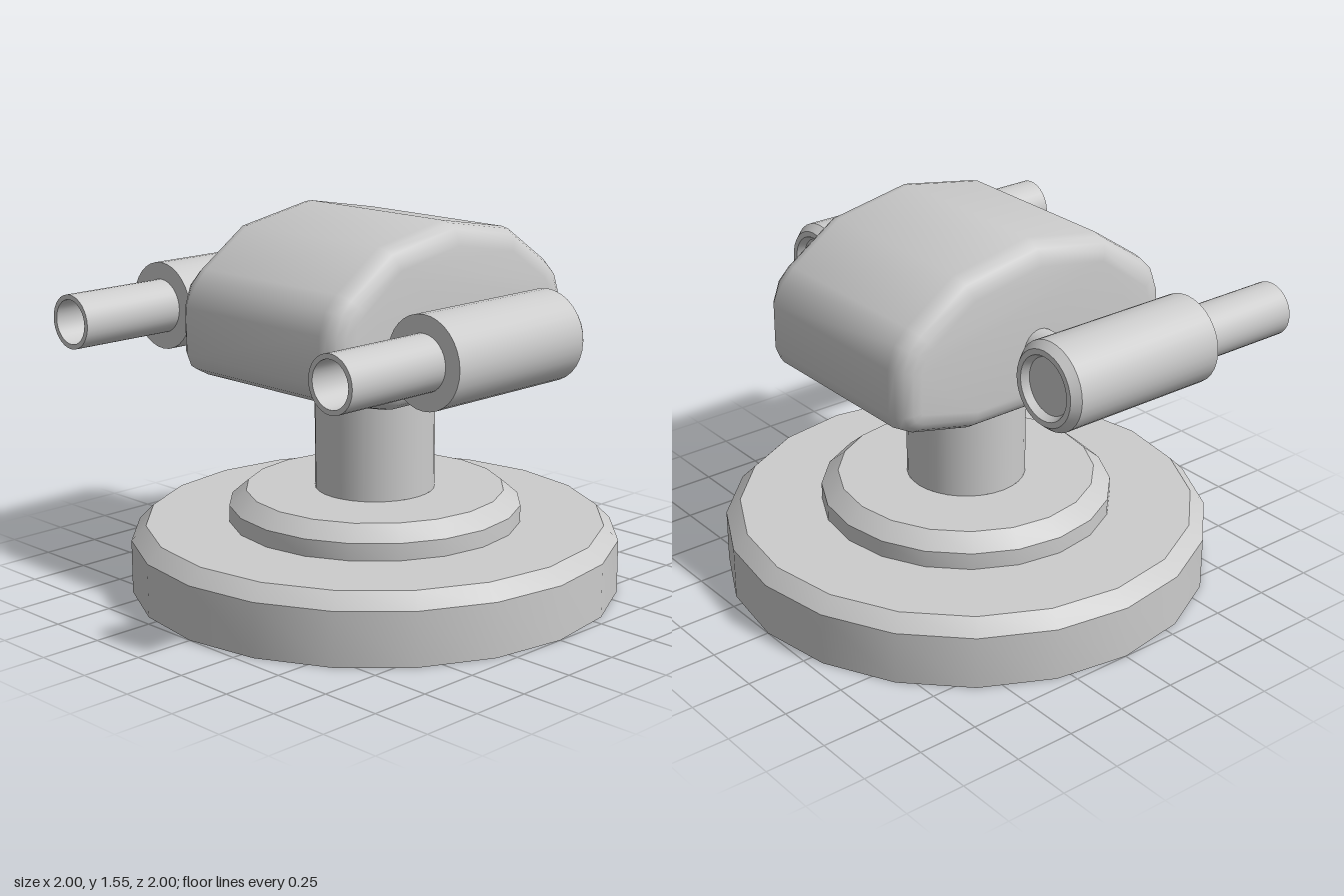
import * as THREE from 'three';
import { toCreasedNormals } from 'three/addons/utils/BufferGeometryUtils.js';

const grey = new THREE.MeshStandardMaterial({ color: 0xcccccc });
const greyOpen = new THREE.MeshStandardMaterial({ color: 0xcccccc, side: THREE.DoubleSide });

function part(name, geometry, material = grey) {
  const mesh = new THREE.Mesh(geometry, material);
  mesh.name = name;
  return mesh;
}

// Lathe from [radius, height] pairs, with sharp profile edges
function turned(points, sides) {
  const profile = points.map(([r, y]) => new THREE.Vector2(r, y));
  return toCreasedNormals(new THREE.LatheGeometry(profile, sides), 0.55);
}

// Rounded block: side outline extruded across the width
function headGeometry() {
  const half = [[0, 1.548], [0.35, 1.485], [0.57, 1.335], [0.625, 1.28], [0.657, 1.19],
    [0.657, 1.0], [0.635, 0.945], [0.575, 0.912], [0.31, 0.85]];
  const outline = [...half, ...half.slice(1).reverse().map(([z, y]) => [-z, y])];
  const shape = new THREE.Shape(outline.map(([z, y]) => new THREE.Vector2(z, y)));
  const bevel = 0.09, width = 0.91;
  const geometry = new THREE.ExtrudeGeometry(shape, {
    depth: width - 2 * bevel, bevelEnabled: true, bevelSize: bevel,
    bevelThickness: bevel, bevelOffset: -bevel, bevelSegments: 4,
  });
  geometry.translate(0, 0, bevel - width / 2).rotateY(Math.PI / 2);
  return toCreasedNormals(geometry, 0.7);
}

// One gun with its side arm; side is +1 (left) or -1 (right)
function createGun(side) {
  const gun = new THREE.Group();
  gun.name = side > 0 ? 'leftGun' : 'rightGun';

  // Chamfered housing with a recessed rear cap
  const housing = turned([[0, -0.195], [0.115, -0.195], [0.13, -0.225], [0.153, -0.225],
    [0.18, -0.192], [0.18, 0.495], [0, 0.495]], 32);
  // Hollow barrel
  const barrel = turned([[0.11, 0.49], [0.11, 0.96], [0.09, 0.96], [0.09, 0.5], [0, 0.5]], 32);
  for (const [name, geometry] of [['gunHousing', housing], ['gunBarrel', barrel]]) {
    gun.add(part(name, geometry.rotateX(Math.PI / 2)));
  }

  const arm = new THREE.CylinderGeometry(0.077, 0.077, 0.34, 24).rotateZ(Math.PI / 2);
  const armMesh = part('gunArm', arm);
  armMesh.position.x = -side * 0.27;
  gun.add(armMesh);

  gun.position.set(side * 0.74, 1.125, 0);
  return gun;
}

export function createModel() {
  const model = new THREE.Group();
  model.name = 'turret';

  // Stepped base shell, open underneath
  const base = turned([[1, 0], [1, 0.22], [0.94, 0.28], [0.6, 0.28], [0.6, 0.35],
    [0.53, 0.41], [0.245, 0.41]], 20);
  model.add(part('base', base, greyOpen));

  // Hollow column opening into the base
  const column = new THREE.CylinderGeometry(0.245, 0.245, 0.49, 32, 1, true);
  model.add(part('column', column.translate(0, 0.655, 0), greyOpen));

  model.add(part('head', headGeometry()));
  for (const side of [1, -1]) model.add(createGun(side));
  return model;
}
